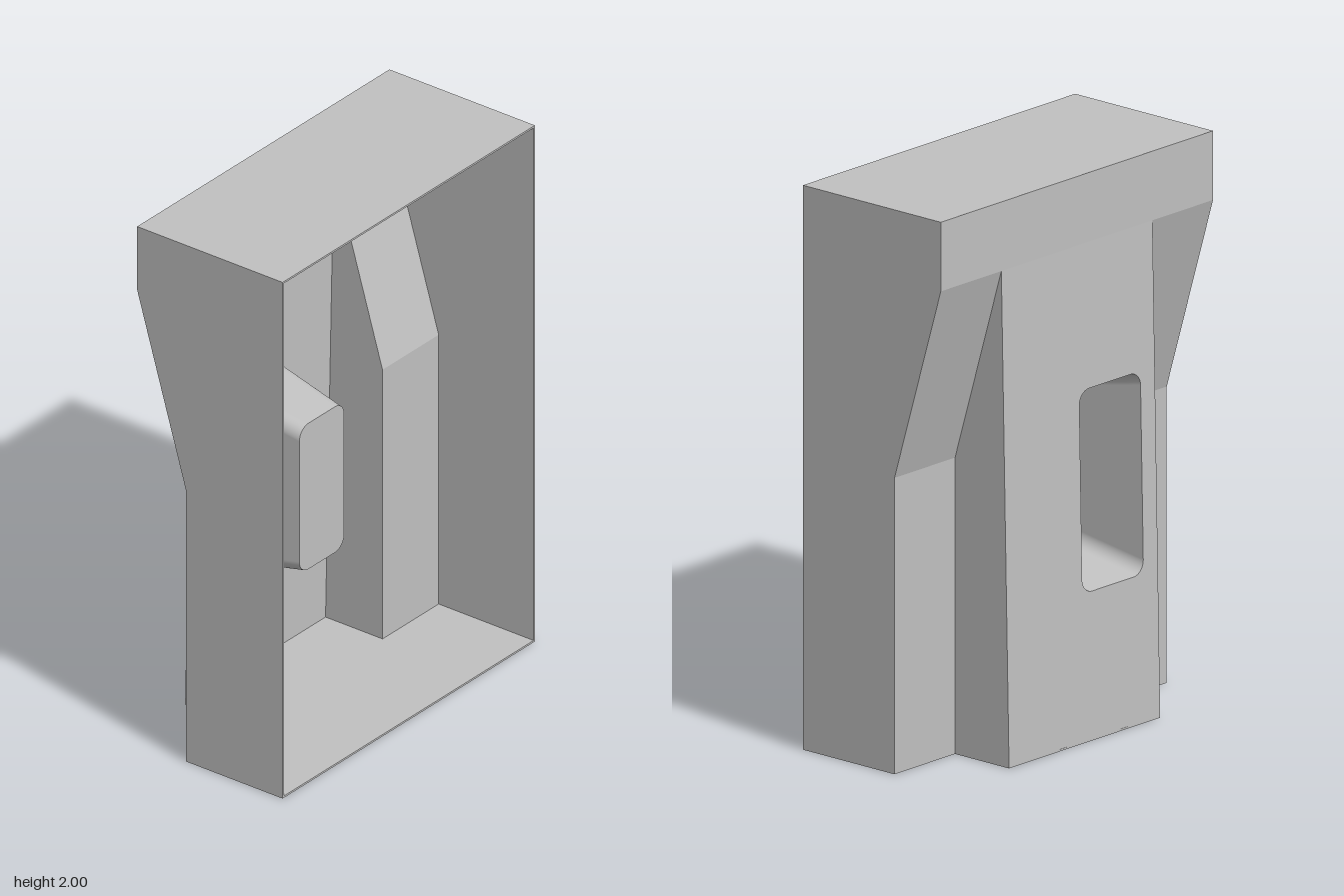
import * as THREE from 'three';

const T = 0.007;                       // sheet thickness
const X1 = 0.33, XB = -0.295, XS = -0.085, XF = -0.33; // open rim, upper back, recessed back, foot of panel
const ZW = 0.69, ZP = 0.383;           // half depth of housing and of raised panel
const Y0 = 1.05, Y1 = 1.755, H = 2;    // slope start, slope end, height
const panelX = (y) => XB + (XF - XB) * (1 - y / Y1);

// Extrudes an (x, y) outline from z0 to z1
function plate(points, z0, z1) {
  const shape = new THREE.Shape(points.map(([x, y]) => new THREE.Vector2(x, y)));
  const g = new THREE.ExtrudeGeometry(shape, { depth: z1 - z0, bevelEnabled: false });
  return g.translate(0, 0, z0);
}

// Rounded rectangle with the same point count for any size; first axis is -z
function roundedRect(z0, z1, y0, y1, r, Type = THREE.Shape) {
  const p = new Type(), a = -z1, b = -z0, q = Math.PI / 2;
  p.absarc(b - r, y0 + r, r, -q, 0);
  p.absarc(b - r, y1 - r, r, 0, q);
  p.absarc(a + r, y1 - r, r, q, 2 * q);
  p.absarc(a + r, y0 + r, r, 2 * q, 3 * q);
  return p;
}

export function createModel() {
  const group = new THREE.Group();
  const grey = new THREE.MeshStandardMaterial({ color: 0xc0c0c0, side: THREE.DoubleSide });
  grey.name = 'light grey';
  const add = (name, geometry) => {
    const mesh = new THREE.Mesh(geometry, grey);
    mesh.name = name;
    group.add(mesh);
  };

  // Front and back walls
  const side = [[X1, 0], [X1, H], [XB, H], [XB, Y1], [XS, Y0], [XS, 0]];
  add('frontWall', plate(side, ZW - T, ZW));
  add('backWall', plate(side, -ZW, -ZW + T));

  // Top sheet with the upper back
  add('topCover', plate([[X1, H], [XB, H], [XB, Y1], [XB + T, Y1], [XB + T, H - T], [X1, H - T]], -ZW, ZW));

  // Sloped and recessed sheets either side of the panel, with the channel walls
  const recess = [[XB, Y1], [XS, Y0], [XS, 0], [XS + T, 0], [XS + T, Y0], [XB + T, Y1]];
  const cheek = [[XB, Y1], [XF, 0], [XS + T, 0], [XS + T, Y0]];
  for (const [name, s] of [['front', 1], ['back', -1]]) {
    add(name + 'Recess', plate(recess, s > 0 ? ZP - T : -ZW, s > 0 ? ZW : -ZP + T));
    add(name + 'ChannelWall', plate(cheek, s > 0 ? ZP - T : -ZP, s > 0 ? ZP : -ZP + T));
  }

  // Floor with its tongue under the panel
  add('floor', plate([[XS, 0], [X1, 0], [X1, T], [XS, T]], -ZW, ZW));
  add('floorTongue', plate([[XF, 0], [XS, 0], [XS, T], [XF, T]], -ZP, ZP));

  // Raised panel, leaning out towards the foot, with the pocket opening
  const opening = [0, 0.31, 0.525, 1.24, 0.05];
  const sheet = new THREE.Shape([[-ZP, 0], [ZP, 0], [ZP, Y1], [-ZP, Y1]].map(([x, y]) => new THREE.Vector2(x, y)));
  sheet.holes.push(roundedRect(...opening, THREE.Path));
  const panel = new THREE.ExtrudeGeometry(sheet, { depth: T, bevelEnabled: false, curveSegments: 8 });
  panel.rotateY(Math.PI / 2);
  const pos = panel.attributes.position;
  for (let i = 0; i < pos.count; i++) pos.setX(i, pos.getX(i) + panelX(pos.getY(i)));
  panel.computeVertexNormals();
  add('raisedPanel', panel);

  // Tapered pocket reaching into the housing
  const depthX = 0.08;
  const floorShape = roundedRect(0.035, 0.28, 0.6, 1.165, 0.05);
  const outer = roundedRect(...opening).getPoints(8);
  const inner = floorShape.getPoints(8);
  const n = outer.length, verts = [], index = [];
  outer.forEach((p) => verts.push(panelX(p.y), p.y, -p.x));
  inner.forEach((p) => verts.push(depthX, p.y, -p.x));
  for (let i = 0; i < n; i++) {
    const j = (i + 1) % n;
    index.push(i, j, n + j, i, n + j, n + i);
  }
  const walls = new THREE.BufferGeometry();
  walls.setAttribute('position', new THREE.Float32BufferAttribute(verts, 3));
  walls.setIndex(index);
  walls.computeVertexNormals();
  add('pocketWalls', walls);
  add('pocketFloor', new THREE.ShapeGeometry(floorShape, 8).rotateY(Math.PI / 2).translate(depthX, 0, 0));

  return group;
}
